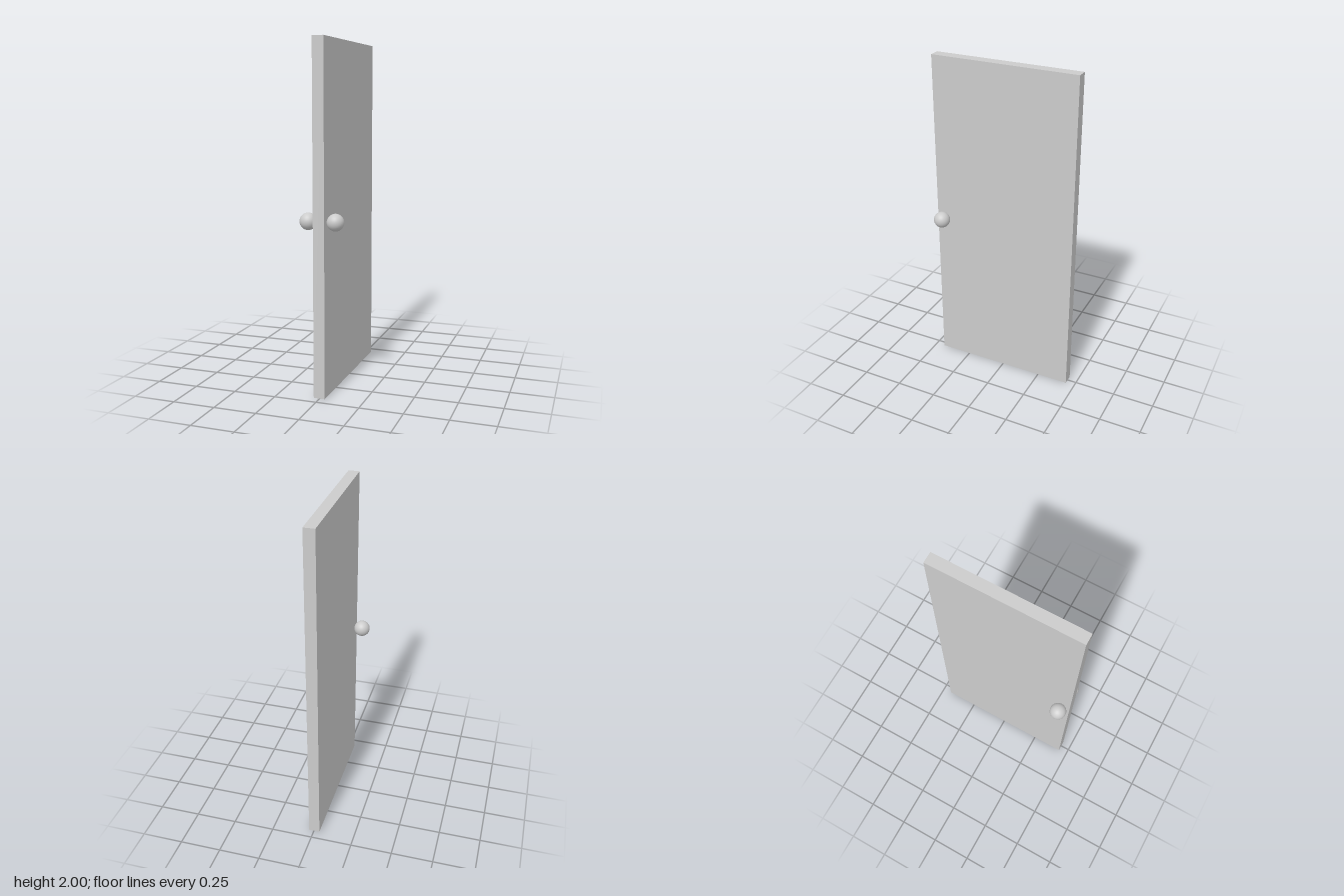
import * as THREE from 'three';

export function createModel() {
  const model = new THREE.Group();
  model.name = 'door';
  const material = new THREE.MeshStandardMaterial({ color: 0xcccccc });

  // Plain slab standing on the ground
  const panel = new THREE.Mesh(new THREE.BoxGeometry(0.066, 2, 0.886), material);
  panel.name = 'doorPanel';
  panel.position.set(-0.002, 1, 0);
  model.add(panel);

  // A round knob on each face, near the front edge
  const knobGeometry = new THREE.SphereGeometry(0.049, 32, 16);
  for (const [name, side] of [['leftKnob', 1], ['rightKnob', -1]]) {
    const knob = new THREE.Mesh(knobGeometry, material);
    knob.name = name;
    knob.position.set(panel.position.x + side * 0.08, 0.997, 0.39);
    model.add(knob);
  }

  return model;
}
